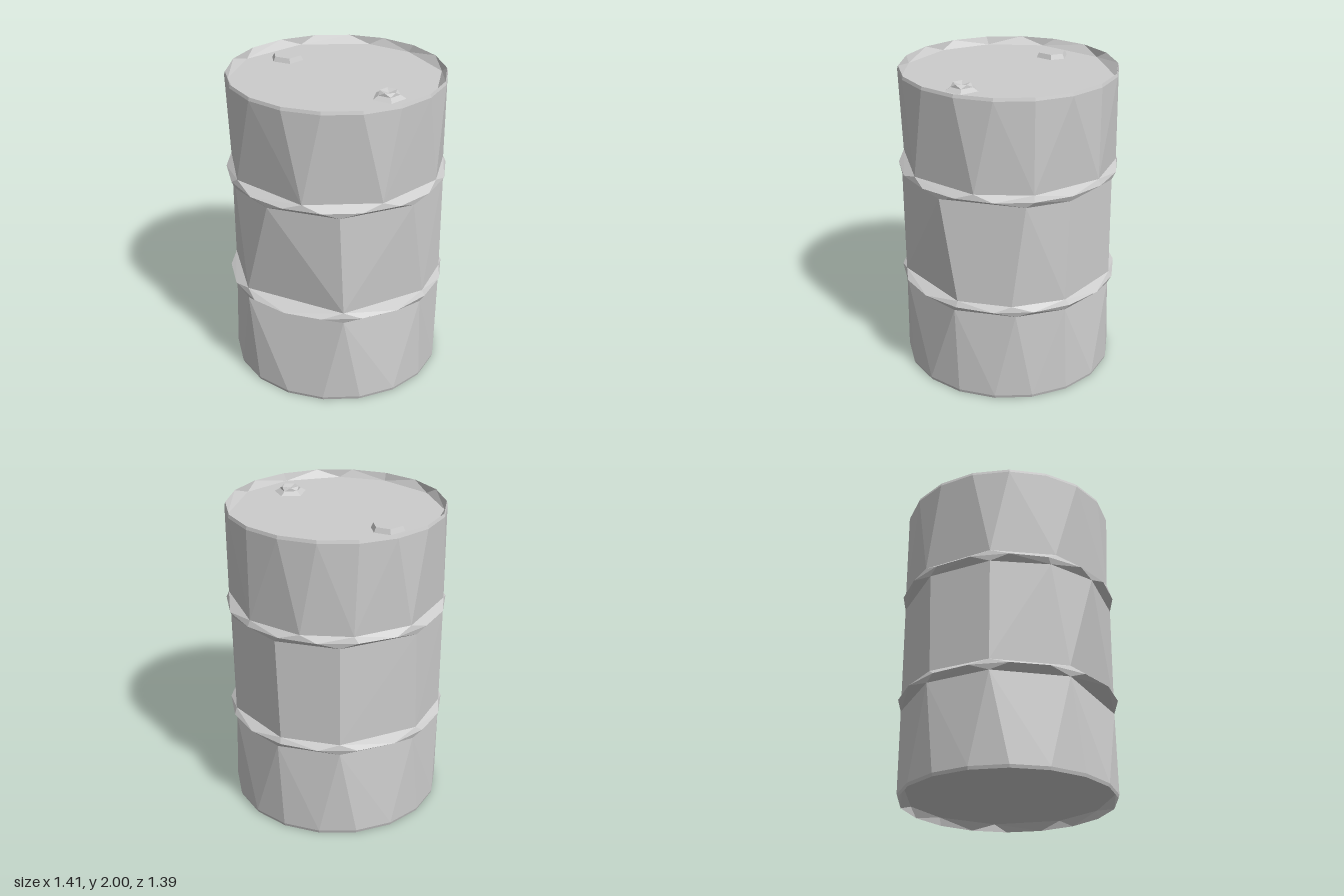
import * as THREE from 'three';

const material = new THREE.MeshStandardMaterial({ color: 0xcccccc, flatShading: true });

// Angles run in degrees from +z towards +x
const even = (count, turn) => Array.from({ length: count }, (_, i) => turn + (360 * i) / count);
const CENTRE = [0];

// A ring is [radius, height, angles of its corners]; angleAt continues past a full turn
const angleAt = (angles, i) => angles[i % angles.length] + 360 * Math.floor(i / angles.length);

function corner([r, y, angles], i) {
  const a = THREE.MathUtils.degToRad(angleAt(angles, i));
  return [r * Math.sin(a), y, r * Math.cos(a)];
}

// Joins successive rings, even with differing corners, by triangles
function skin(name, rings) {
  const points = [];
  for (let k = 0; k + 1 < rings.length; k++) {
    const a = rings[k], b = rings[k + 1];
    const nA = a[2].length, nB = b[2].length;
    const middle = (angles, i) => (angleAt(angles, i) + angleAt(angles, i + 1)) / 2;
    let i = 0, j = 0;
    while (i < nA || j < nB) {
      if (j >= nB || (i < nA && middle(a[2], i) <= middle(b[2], j))) {
        if (nA > 1) points.push(...corner(a, i), ...corner(a, i + 1), ...corner(b, j));
        i++;
      } else {
        if (nB > 1) points.push(...corner(a, i), ...corner(b, j + 1), ...corner(b, j));
        j++;
      }
    }
  }
  const geometry = new THREE.BufferGeometry();
  geometry.setAttribute('position', new THREE.Float32BufferAttribute(points, 3));
  geometry.computeVertexNormals();
  const mesh = new THREE.Mesh(geometry, material);
  mesh.name = name;
  return mesh;
}

export function createModel() {
  const drum = new THREE.Group();
  drum.name = 'drum';

  // Uneven, dented grooves where the walls meet the hoops
  const groove1 = [0.686, 0.6, [8, 41, 68, 107, 141, 184, 220, 262, 321]];
  const groove2 = [0.686, 0.67, [10, 39, 68, 109, 141, 186, 220, 262, 321]];
  const groove3 = [0.686, 1.33, [0, 46, 70, 107, 141, 184, 220, 252, 280, 319]];
  const groove4 = [0.686, 1.405, [20, 50, 90, 121, 148, 180, 220, 255, 300, 341]];

  // Regular rings at the hoop crests and the two rims
  const round = (r, y) => [r, y, even(18, 10)];
  const panel = [18, 57, 92, 118, 158, 197, 229, 258, 290, 317, 349];
  const lidY = 1.95, baseY = 0.05;

  // Walls
  drum.add(skin('lowerWall', [round(0.687, 0.02), groove1]));
  drum.add(skin('middleWall', [groove2, groove3]));
  drum.add(skin('upperWall', [groove4, round(0.687, 1.98)]));

  // Hoops
  drum.add(skin('lowerHoop', [groove1, round(0.706, 0.635), groove2]));
  drum.add(skin('upperHoop', [groove3, round(0.703, 1.367), groove4]));

  // Rims with the sunken lid and base
  drum.add(skin('topRim', [round(0.687, 1.98), round(0.681, 2), [0.667, lidY, panel]]));
  drum.add(skin('lid', [[0.667, lidY, panel], [0, lidY, CENTRE]]));
  drum.add(skin('bottomRim', [[0.667, baseY, panel], round(0.681, 0), round(0.687, 0.02)]));
  drum.add(skin('base', [[0, baseY, CENTRE], [0.667, baseY, panel]]));

  // Large plug at the back
  const hexagon = [32, 85, 145, 210, 260, 328];
  const largePlug = skin('largePlug', [
    [0.105, 0, hexagon], [0.09, 0.03, hexagon], [0, 0.03, CENTRE],
  ]);
  largePlug.position.set(0, lidY, -0.465);
  drum.add(largePlug);

  // Small plug at the front: sloping collar with a raised, dished nut
  const smallPlug = skin('smallPlug', [
    [0.105, 0, even(5, 36)], [0.07, 0.022, even(5, 36)],
    [0.055, 0.042, even(5, 0)], [0, 0.028, CENTRE],
  ]);
  smallPlug.position.set(0, lidY, 0.452);
  drum.add(smallPlug);

  return drum;
}
